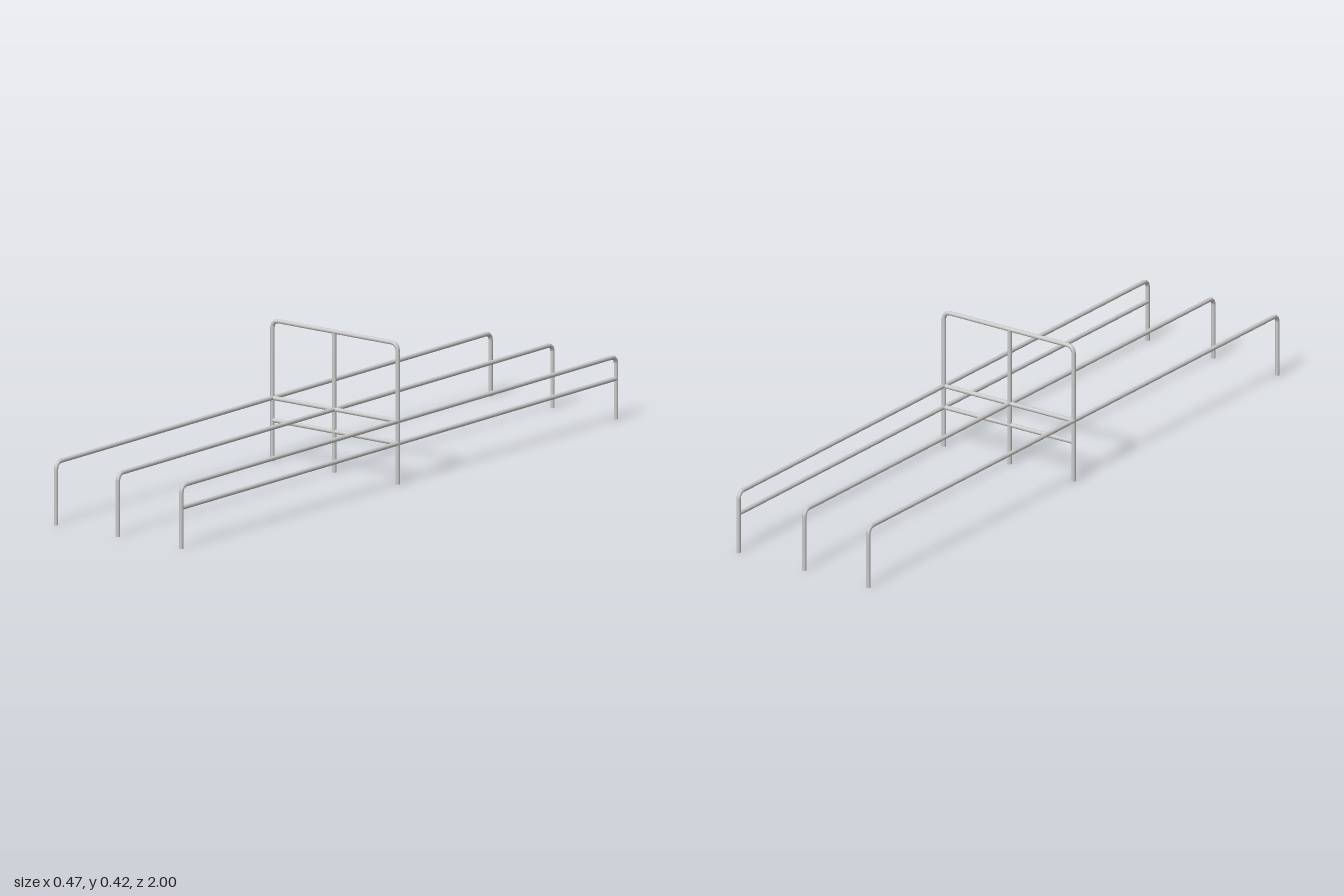
import * as THREE from 'three';

const R = 0.0064;      // pipe radius
const BEND = 0.02;     // centre-line radius of the bends
const SIDES = 12;

const metal = new THREE.MeshStandardMaterial({ color: 0xcccccc });

// Straight pipe between two points
function pipe(name, from, to) {
  const a = new THREE.Vector3(...from), b = new THREE.Vector3(...to);
  const dir = b.clone().sub(a);
  const mesh = new THREE.Mesh(new THREE.CylinderGeometry(R, R, dir.length(), SIDES), metal);
  mesh.position.copy(a).add(b).multiplyScalar(0.5);
  mesh.quaternion.setFromUnitVectors(new THREE.Vector3(0, 1, 0), dir.normalize());
  mesh.name = name;
  return mesh;
}

// Upside-down U of pipe in the XY plane, with rounded corners
function hoop(name, half, height) {
  const group = new THREE.Group();
  group.name = name;
  for (const s of [-1, 1]) {
    group.add(pipe('leg', [s * half, 0, 0], [s * half, height - BEND, 0]));
    const bend = new THREE.Mesh(new THREE.TorusGeometry(BEND, R, SIDES, 3, Math.PI / 2), metal);
    bend.position.set(s * (half - BEND), height - BEND, 0);
    if (s < 0) bend.rotation.y = Math.PI;
    bend.name = 'bend';
    group.add(bend);
  }
  group.add(pipe('topBar', [BEND - half, height, 0], [half - BEND, height, 0]));
  return group;
}

export function createModel() {
  const model = new THREE.Group();
  model.name = 'pipeBarrier';

  const side = 0.227, railY = 0.184, lowY = 0.119, end = 0.9936, midX = -0.003, midZ = 0.004;

  // Three long rails running front to back
  for (const [name, x] of [['rightRail', -side], ['middleRail', midX], ['leftRail', side]]) {
    const rail = hoop(name, end, railY);
    rail.rotation.y = Math.PI / 2;
    rail.position.x = x;
    model.add(rail);
  }

  // Lower rail on the left side only
  model.add(pipe('lowerRail', [side, lowY, -end], [side, lowY, end]));

  // Tall central hoop with its post and cross bars
  const frame = hoop('centralHoop', side, 0.411);
  frame.add(pipe('centralPost', [midX, 0, 0], [midX, 0.411, 0]));
  frame.add(pipe('upperCrossBar', [-side, railY, 0], [side, railY, 0]));
  frame.add(pipe('lowerCrossBar', [-side, lowY, 0], [side, lowY, 0]));
  frame.position.z = midZ;
  model.add(frame);

  return model;
}
